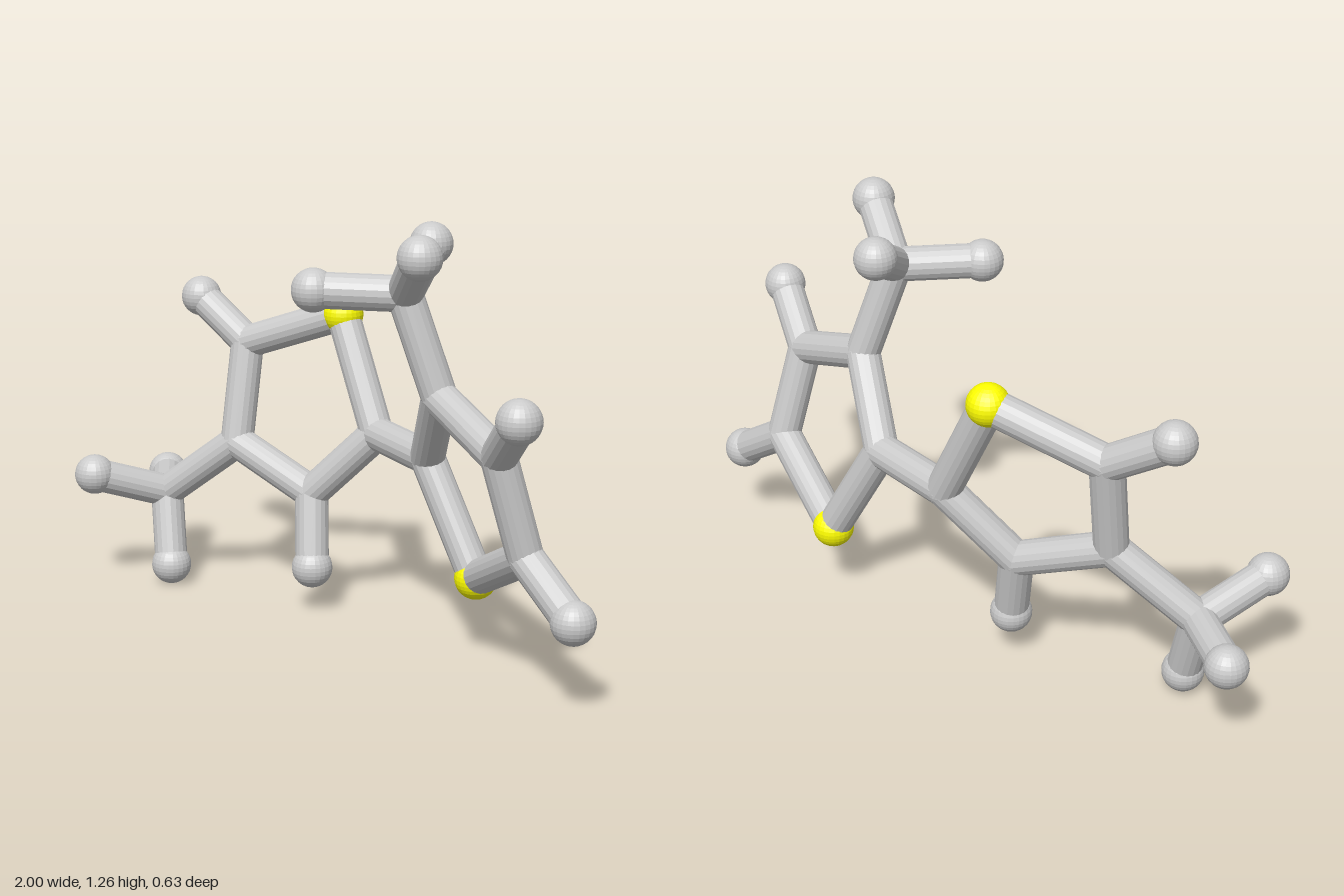
import * as THREE from 'three';

const ROD = 0.051, BALL = 0.062;

// Joint centres of the two five-sided rings and their side groups
const atoms = {
  // right-hand ring
  sulfurA: [-0.225, 0.9, -0.25],
  linkA: [-0.05, 0.565, -0.235],
  lowerA: [-0.235, 0.36, -0.135],
  branchA: [-0.52, 0.475, -0.07],
  upperA: [-0.54, 0.78, -0.13],
  methylA: [-0.75, 0.285, 0.035],
  hydrogenA1: [-0.735, 0.9, -0.1],
  hydrogenA2: [-0.187, 0.142, -0.097],
  hydrogenA3: [-0.94, 0.285, -0.105],
  hydrogenA4: [-0.833, 0.36, 0.253],
  hydrogenA5: [-0.685, 0.065, 0.07],
  // left-hand ring
  sulfurB: [0.425, 0.24, -0.197],
  linkB: [0.24, 0.56, -0.175],
  branchB: [0.405, 0.785, -0.065],
  upperB: [0.7, 0.685, -0.008],
  lowerB: [0.737, 0.4, -0.08],
  methylB: [0.325, 1.07, -0.005],
  hydrogenB1: [0.857, 0.823, 0.075],
  hydrogenB2: [0.936, 0.272, -0.062],
  hydrogenB3: [0.49, 1.2, 0.09],
  hydrogenB4: [0.232, 1.178, -0.188],
  hydrogenB5: [0.142, 1.075, 0.168],
};

// Chains of joined atoms; each neighbouring pair gets a rod
const chains = [
  ['sulfurA', 'linkA', 'lowerA', 'branchA', 'upperA', 'sulfurA'],
  ['sulfurB', 'linkB', 'branchB', 'upperB', 'lowerB', 'sulfurB'],
  ['linkA', 'linkB'],
  ['upperA', 'hydrogenA1'],
  ['lowerA', 'hydrogenA2'],
  ['branchA', 'methylA', 'hydrogenA3'],
  ['hydrogenA4', 'methylA', 'hydrogenA5'],
  ['upperB', 'hydrogenB1'],
  ['lowerB', 'hydrogenB2'],
  ['branchB', 'methylB', 'hydrogenB3'],
  ['hydrogenB4', 'methylB', 'hydrogenB5'],
];

export function createModel() {
  const model = new THREE.Group();
  model.name = 'molecule';
  const grey = new THREE.MeshStandardMaterial({ color: 0xcccccc, flatShading: true });
  const yellow = new THREE.MeshStandardMaterial({ color: 0xffff00, flatShading: true });
  const ball = new THREE.SphereGeometry(BALL, 24, 16);
  const joint = new THREE.SphereGeometry(ROD, 24, 16);
  const up = new THREE.Vector3(0, 1, 0);
  const at = (name) => new THREE.Vector3(...atoms[name]);

  // Balls: yellow sulfurs, grey hydrogens, and rod-wide carbon joints
  for (const name of Object.keys(atoms)) {
    const sulfur = name.startsWith('sulfur');
    const big = sulfur || name.startsWith('hydrogen');
    const mesh = new THREE.Mesh(big ? ball : joint, sulfur ? yellow : grey);
    mesh.position.copy(at(name));
    mesh.name = big ? name : name + 'Carbon';
    model.add(mesh);
  }

  // Bonds: straight rods between neighbouring atoms
  for (const chain of chains) {
    for (let i = 1; i < chain.length; i++) {
      const a = at(chain[i - 1]), b = at(chain[i]);
      const dir = b.clone().sub(a);
      const rod = new THREE.Mesh(new THREE.CylinderGeometry(ROD, ROD, dir.length(), 18), grey);
      rod.position.copy(a).add(b).multiplyScalar(0.5);
      rod.quaternion.setFromUnitVectors(up, dir.normalize());
      rod.name = `bond_${chain[i - 1]}_${chain[i]}`;
      model.add(rod);
    }
  }
  return model;
}
